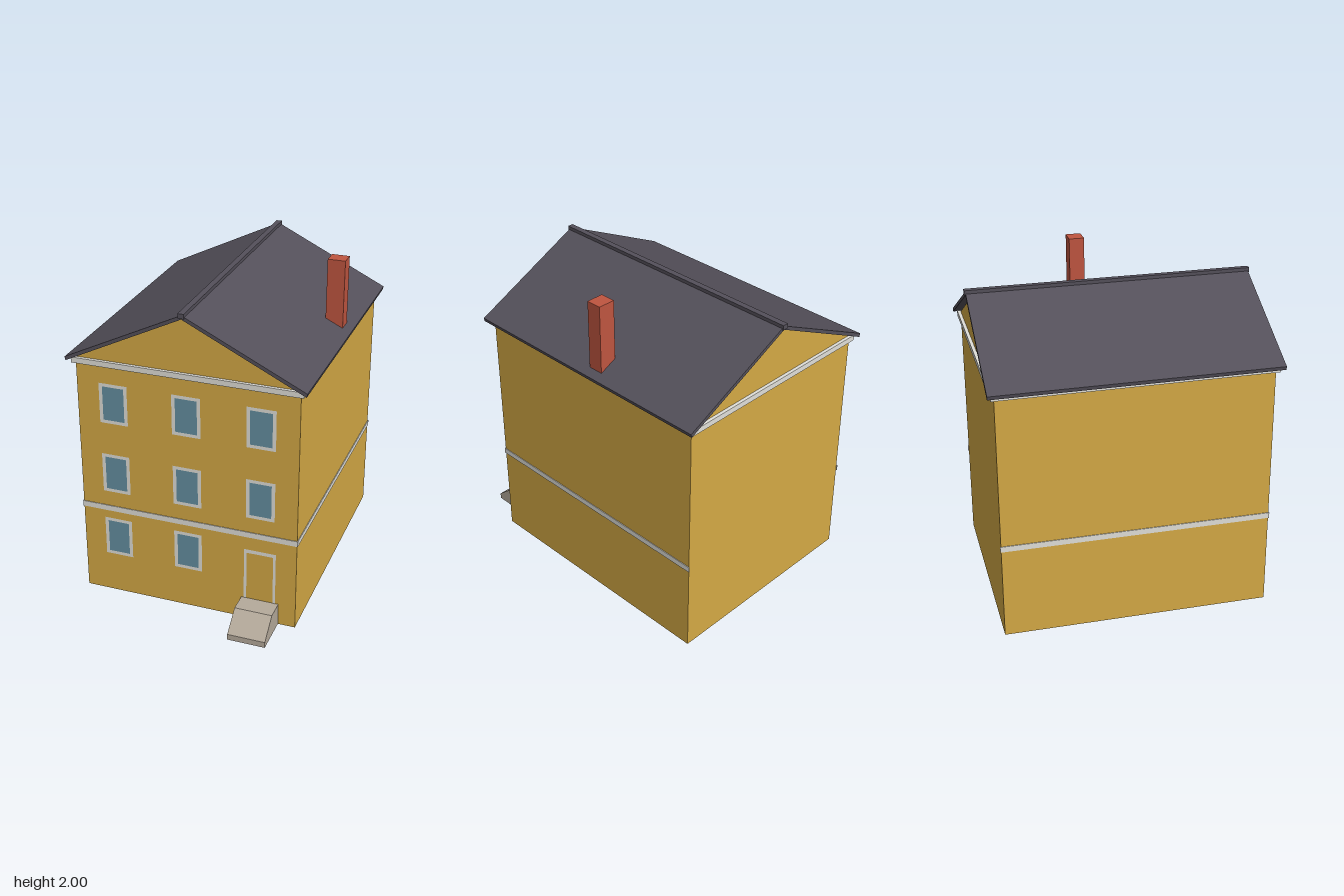
import * as THREE from 'three';

const mat = (name, color) => {
  const m = new THREE.MeshStandardMaterial({ color });
  m.name = name;
  return m;
};

export function createModel() {
  const house = new THREE.Group();
  house.name = 'house';
  const ochre = mat('ochre plaster', 0xd4a945);
  const trim = mat('pale trim', 0xe0dfd9);
  const glass = mat('blue glass', 0x648fa1);
  const slate = mat('dark slate', 0x54505a);
  const stone = mat('grey stone', 0xb5aa9b);
  const brick = mat('red brick', 0xbf5540);
  // Walls and ramp are thin shells, open underneath
  ochre.side = THREE.DoubleSide;
  stone.side = THREE.DoubleSide;

  const add = (name, geometry, material, parent = house) => {
    const mesh = new THREE.Mesh(geometry, material);
    mesh.name = name;
    parent.add(mesh);
    return mesh;
  };
  // Box given by its lower and upper corners
  const box = (name, material, x0, x1, y0, y1, z0, z1) => {
    const mesh = add(name, new THREE.BoxGeometry(x1 - x0, y1 - y0, z1 - z0), material);
    mesh.position.set((x0 + x1) / 2, (y0 + y1) / 2, (z0 + z1) / 2);
  };
  const polygon = (pts) => new THREE.Shape(pts.map(([x, y]) => new THREE.Vector2(x, y)));
  const extrude = (shape, z0, z1) =>
    new THREE.ExtrudeGeometry(shape, { depth: z1 - z0, bevelEnabled: false }).translate(0, 0, z0);

  const back = -0.903, front = 0.71, half = 0.67, eave = 1.546;

  // Gable walls and side walls
  const gable = polygon([[-half, 0], [half, 0], [half, eave], [0, 1.884], [-half, eave]]);
  add('frontWall', new THREE.ShapeGeometry(gable).translate(0, 0, front), ochre);
  add('backWall', new THREE.ShapeGeometry(gable).rotateY(Math.PI).translate(0, 0, back), ochre);
  for (const s of [-1, 1]) {
    const wall = new THREE.PlaneGeometry(front - back, eave).rotateY(s * Math.PI / 2);
    add('sideWall', wall.translate(s * half, eave / 2, (front + back) / 2), ochre);
  }

  // Cornice under the eaves, and storey band on the front and sides
  box('cornice', trim, -0.69, 0.69, 1.515, 1.549, back - 0.02, front + 0.02);
  box('frontBand', trim, -0.675, 0.675, 0.565, 0.6, front + 0.001, front + 0.005);
  for (const s of [-1, 1]) {
    box('sideBand', trim, s * 0.673 - 0.002, s * 0.673 + 0.002, 0.565, 0.6, back - 0.005, front + 0.005);
  }

  // Roof slabs and ridge cap
  for (const s of [-1, 1]) {
    const pts = [[0, 1.884], [s * 0.712, 1.536], [s * 0.717, 1.558], [0, 1.907]];
    add('roofSlope', extrude(polygon(pts), -0.945, 0.755), slate);
  }
  box('ridgeCap', slate, -0.018, 0.018, 1.89, 1.919, -0.953, 0.762);

  // Chimney
  box('chimney', brick, 0.561, 0.667, 1.549, 2, -0.217, -0.123);

  // Windows: a flat frame with an opening and a pane in it
  const addWindow = (x, y) => {
    const group = new THREE.Group();
    group.name = 'window';
    group.position.set(x, y, front + 0.002);
    const rect = (w, h) => polygon([[-w, -h], [w, -h], [w, h], [-w, h]]);
    const frame = rect(0.087, 0.126);
    frame.holes.push(rect(0.066, 0.106));
    add('windowFrame', new THREE.ShapeGeometry(frame), trim, group);
    add('windowPane', new THREE.PlaneGeometry(0.132, 0.212), glass, group);
    house.add(group);
  };
  for (const y of [0.387, 0.823, 1.279]) {
    for (const x of [-0.447, 0, 0.447]) {
      if (x > 0 && y < 0.5) continue; // place of the door
      addWindow(x, y);
    }
  }

  // Door surround
  const surround = polygon([
    [0.35, 0], [0.366, 0], [0.366, 0.457], [0.529, 0.457],
    [0.529, 0], [0.545, 0], [0.545, 0.48], [0.35, 0.48],
  ]);
  add('doorFrame', new THREE.ShapeGeometry(surround).translate(0, 0, front + 0.002), trim);

  // Entrance ramp: a hollow shell
  const entrance = new THREE.Group();
  entrance.name = 'entranceRamp';
  house.add(entrance);
  const profile = [[0.955, 0], [0.955, 0.037], [0.83, 0.14], [front, 0.14]];
  const x0 = 0.335, x1 = 0.565;
  const strip = [];
  for (let i = 0; i < profile.length - 1; i++) {
    const [za, ya] = profile[i], [zb, yb] = profile[i + 1];
    strip.push(x0, ya, za, x1, ya, za, x1, yb, zb, x0, ya, za, x1, yb, zb, x0, yb, zb);
  }
  const shell = new THREE.BufferGeometry();
  shell.setAttribute('position', new THREE.Float32BufferAttribute(strip, 3));
  shell.computeVertexNormals();
  add('rampTop', shell, stone, entrance);
  const cheek = polygon([...profile, [front, 0]].map(([z, y]) => [-z, y]));
  for (const x of [x0, x1]) {
    add('rampCheek', new THREE.ShapeGeometry(cheek).rotateY(Math.PI / 2).translate(x, 0, 0), stone, entrance);
  }

  return house;
}
